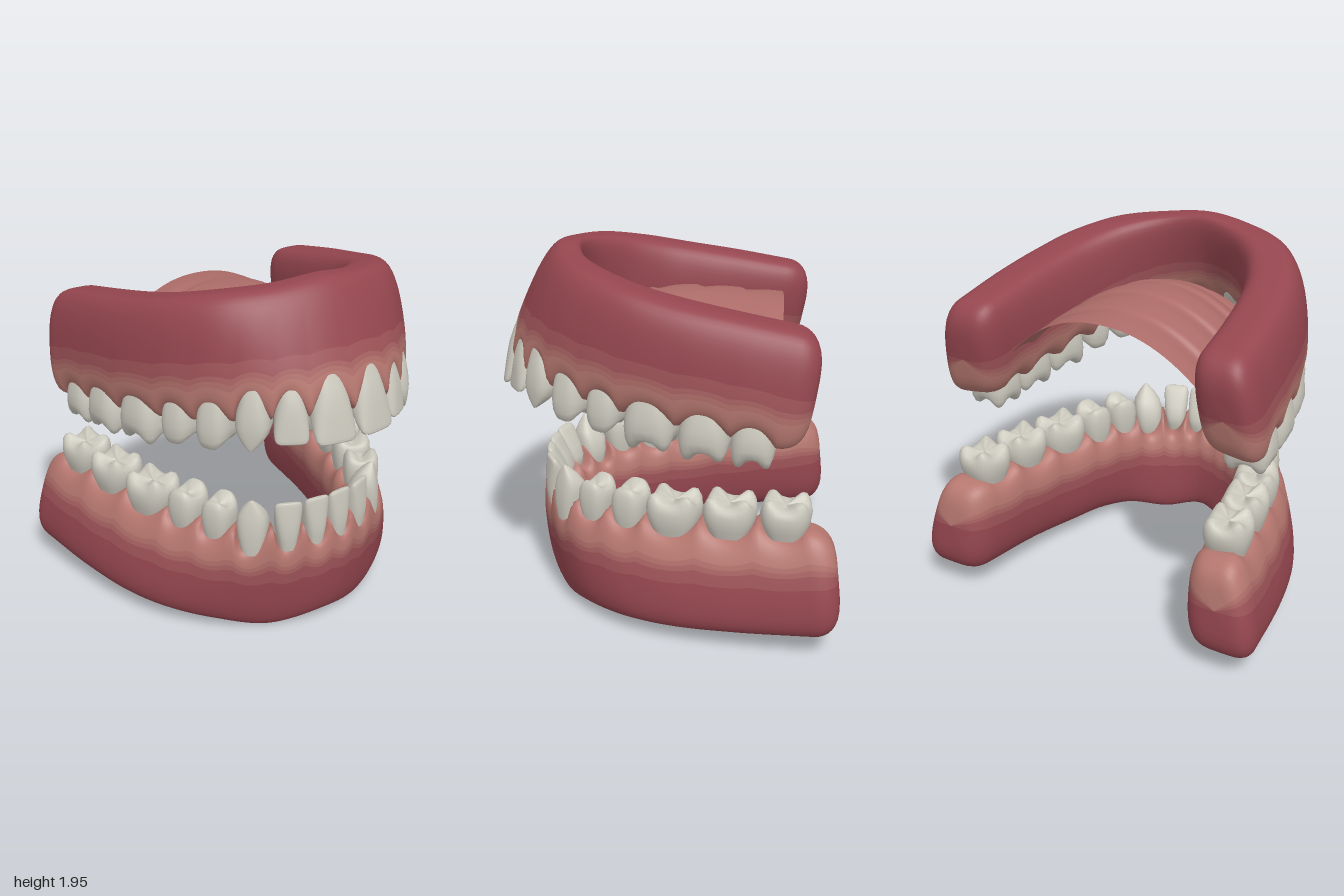
import * as THREE from 'three';

const mat = (color, extra = {}) => new THREE.MeshStandardMaterial({ color, ...extra });
const toothMat = mat(0xcbc8bd);
const palateMat = mat(0xac6c68, { side: THREE.DoubleSide });
// Gum colours from the tooth margin to the base, and where each one ends
const gumMats = [0xb5776f, 0xae6d68, 0xa66261, 0x9d5358, 0x95464f].map(c => mat(c));
const BAND_ENDS = [.28, .34, .4, .46, 1];

// Ring profiles from root to tip: [height, width, thickness, cusp weight]
const PROFILES = {
  incisor: [[0, .6, .75, 0], [.2, .72, .95, 0], [.38, .85, 1, 0], [.6, .95, .8, 0], [.82, 1, .5, 0],
    [.93, .97, .34, 0], [.98, .88, .24, 0], [1, .7, .12, 0], [1, 0, 0, 0]],
  canine: [[0, .6, .75, 0], [.2, .78, .95, 0], [.4, .95, 1, 0], [.6, 1, .9, 0], [.74, .88, .68, 0],
    [.86, .58, .45, 0], [.95, .26, .22, 0], [.99, .09, .09, 0], [1, 0, 0, 0]],
  molar: [[0, .72, .8, 0], [.2, .84, .9, 0], [.4, .95, .98, 0], [.62, 1, 1, .1], [.8, .96, .94, .5],
    [.9, .86, .8, .9], [.93, .7, .64, 1], [.88, .45, .4, .7], [.83, .2, .18, .3], [.82, 0, 0, 0]],
};

// kind, centre x, centre z, width, thickness, neck y, tip y, cusps, lean
const UPPER = [
  ['incisor', .115, .8, .228, .17, 1.48, 1.2, 0, .33],
  ['incisor', .3, .735, .175, .16, 1.44, 1.21, 0, .28],
  ['canine', .435, .62, .18, .2, 1.42, 1.16, 0, .18],
  ['molar', .545, .455, .19, .23, 1.37, 1.14, 2, .08],
  ['molar', .63, .27, .19, .24, 1.33, 1.12, 2, .05],
  ['molar', .71, .04, .27, .27, 1.28, 1.06, 4, 0],
  ['molar', .76, -.23, .265, .28, 1.24, 1.03, 4, 0],
  ['molar', .785, -.47, .23, .27, 1.2, 1.01, 4, 0],
];
const LOWER = [
  ['incisor', .072, .64, .143, .14, .56, .78, 0, .04],
  ['incisor', .222, .61, .15, .14, .56, .78, 0, .04],
  ['canine', .37, .51, .17, .18, .51, .8, 0, 0],
  ['molar', .48, .355, .175, .2, .58, .765, 2, 0],
  ['molar', .56, .165, .19, .22, .59, .77, 2, 0],
  ['molar', .645, -.07, .29, .25, .61, .77, 4, 0],
  ['molar', .715, -.36, .28, .25, .645, .79, 4, 0],
  ['molar', .76, -.645, .265, .25, .665, .805, 4, 0],
];

// Corner rails of each gum, from the front middle to the back of the left arm
const UPPER_RAILS = {
  outMargin: [[0, 1.33, .91], [.31, 1.32, .84], [.55, 1.29, .64], [.71, 1.25, .4], [.84, 1.2, .07], [.91, 1.15, -.3], [.94, 1.1, -.57]],
  outBase: [[0, 1.95, .64], [.3, 1.93, .59], [.54, 1.91, .46], [.72, 1.86, .22], [.81, 1.8, -.05], [.85, 1.75, -.35], [.87, 1.69, -.67]],
  inMargin: [[0, 1.33, .68], [.2, 1.32, .61], [.34, 1.29, .46], [.43, 1.25, .25], [.5, 1.2, 0], [.57, 1.15, -.3], [.62, 1.1, -.56]],
  inBase: [[0, 1.95, .44], [.2, 1.92, .39], [.37, 1.88, .24], [.47, 1.83, .05], [.52, 1.79, -.15], [.55, 1.74, -.4], [.57, 1.69, -.67]],
};
const LOWER_RAILS = {
  outMargin: [[0, .64, .73], [.25, .64, .68], [.47, .63, .55], [.62, .63, .31], [.74, .64, 0], [.82, .66, -.35], [.89, .69, -.74]],
  outBase: [[0, .04, .69], [.33, -.01, .58], [.6, .04, .42], [.79, .06, .2], [.9, .07, -.05], [.98, .09, -.4], [1.03, .11, -.8]],
  inMargin: [[0, .64, .54], [.17, .64, .51], [.3, .63, .41], [.39, .63, .23], [.47, .64, 0], [.55, .66, -.35], [.63, .69, -.74]],
  inBase: [[0, .05, .49], [.18, .01, .43], [.35, .04, .32], [.45, .06, .14], [.52, .07, -.1], [.59, .09, -.4], [.64, .11, -.8]],
};

const spow = (v, p) => Math.sign(v) * Math.abs(v) ** p;

// Triangles of a grid of rings; keep() selects columns
function gridIndex(rings, segs, flip, keep = () => true) {
  const index = [];
  for (let i = 0; i < rings - 1; i++) for (let j = 0; j < segs; j++) {
    if (!keep(j)) continue;
    const k = (j + 1) % segs;
    const a = i * segs + j, b = (i + 1) * segs + j, c = (i + 1) * segs + k, d = i * segs + k;
    index.push(...(flip ? [a, d, c, a, c, b] : [a, b, c, a, c, d]));
  }
  return index;
}

function makeGeometry(pos, index) {
  const g = new THREE.BufferGeometry();
  g.setAttribute('position', new THREE.Float32BufferAttribute(pos, 3));
  g.setIndex(index);
  g.computeVertexNormals();
  return g;
}

// Tooth lofted along +y, cheek side facing +z
function toothGeometry(kind, w, t, h, cusps, lean) {
  const segs = 32, pos = [], rows = PROFILES[kind];
  for (const [y, sw, st, cusp] of rows) for (let j = 0; j < segs; j++) {
    const a = j / segs * Math.PI * 2;
    const wave = cusps ? -Math.cos(cusps * a) : 0;
    const r = 1 + .05 * cusp * wave;
    const shift = kind === 'molar' ? 0 : (1 - st) * t * .28;
    pos.push(spow(Math.cos(a), .72) * w / 2 * sw * r, y * h + wave * cusp * .024,
      spow(Math.sin(a), .72) * t / 2 * st * r + shift + lean * (y - .5) * h);
  }
  return makeGeometry(pos, gridIndex(rows.length, segs, false));
}

// Outward angle of every tooth, from its neighbours along the arch
const toothAngle = (list, i) => {
  const p = i ? list[i - 1] : [0, -list[0][1], list[0][2]];
  const n = list[Math.min(i + 1, list.length - 1)];
  return Math.atan2(p[2] - n[2], n[1] - p[1]);
};

function buildTeeth(list, name, isUpper) {
  const group = new THREE.Group();
  group.name = name;
  list.forEach(([kind, x, z, w, t, neck, tip, cusps, lean], i) => {
    const root = .06, h = Math.abs(tip - neck) + root;
    const g = toothGeometry(kind, w, t, h, cusps, lean);
    if (isUpper) g.rotateZ(Math.PI);
    for (const side of [1, -1]) {
      const m = new THREE.Mesh(g, toothMat);
      m.name = (side > 0 ? 'left ' : 'right ') + (cusps === 2 ? 'premolar' : kind);
      m.position.set(x * side, isUpper ? neck + root : neck - root, z);
      m.rotation.y = toothAngle(list, i) * side;
      group.add(m);
    }
  });
  return group;
}

// Horseshoe gum lofted between four rails, with rounded ends and scalloped margin
function buildGum(rails, teeth, name, isUpper) {
  const curve = pts => new THREE.CatmullRomCurve3([
    ...pts.slice(1).reverse().map(([x, y, z]) => new THREE.Vector3(-x, y, z)),
    ...pts.map(p => new THREE.Vector3(...p))]);
  const [om, ob, im, ib] = ['outMargin', 'outBase', 'inMargin', 'inBase'].map(k => curve(rails[k]));
  const at = (u, a, v) => im.getPoint(u).lerp(om.getPoint(u), a).lerp(ib.getPoint(u).lerp(ob.getPoint(u), a), v);
  const N = 220, CAP = 9, segs = 64, pos = [];

  // Even spacing round a squarish section
  const section = j => {
    const q = j / segs * Math.PI * 2, th = q - .2 * Math.sin(4 * q);
    return [(spow(Math.cos(th), .5) + 1) / 2, (spow(Math.sin(th), .5) + 1) / 2];
  };
  // How far the margin recedes in front of the nearest tooth
  const scallop = p => Math.max(0, ...teeth.map(([, x, z, w], i) => {
    const ang = toothAngle(teeth, i), dx = Math.abs(p.x) - x, dz = p.z - z;
    const r = (dx * Math.cos(ang) - dz * Math.sin(ang)) / (w * .52);
    const across = dx * Math.sin(ang) + dz * Math.cos(ang);
    return Math.abs(across) > .35 ? 0 : (1 - r * r) * (i < 3 ? .2 : .12);
  }));
  const ring = (u, shrink, push) => {
    const mid = at(u, .5, .5);
    const dir = mid.clone().sub(at(u < .5 ? .03 : .97, .5, .5)).normalize();
    for (let j = 0; j < segs; j++) {
      const [a, v] = section(j);
      const s = scallop(at(u, a, v));
      const swell = .06 * Math.sin(Math.PI * v) * (a - .5) + s * .1 * (1 - v) * (a - .5);
      const p = at(u, a + swell * 2, v + s * (1 - v) ** 3);
      p.lerp(mid, 1 - shrink).addScaledVector(dir, push);
      pos.push(p.x, p.y, p.z);
    }
  };
  const cap = (u, k) => {
    const f = k / CAP * Math.PI / 2;
    ring(u, k === CAP ? 0 : Math.cos(f) ** .5, .15 * Math.sin(f));
  };
  for (let k = CAP; k > 0; k--) cap(0, k);
  for (let i = 0; i <= N; i++) ring(i / N, 1, 0);
  for (let k = 1; k <= CAP; k++) cap(1, k);

  // Colour bands share one set of normals
  const rings = N + 1 + CAP * 2;
  const whole = makeGeometry(pos, gridIndex(rings, segs, !isUpper));
  const band = j => BAND_ENDS.findIndex(end => section(j + .5)[1] <= end);
  const group = new THREE.Group();
  group.name = name;
  gumMats.forEach((material, b) => {
    const g = whole.clone();
    g.setIndex(gridIndex(rings, segs, !isUpper, j => band(j) === b));
    const m = new THREE.Mesh(g, material);
    m.name = `${name} band ${b + 1}`;
    group.add(m);
  });
  return group;
}

// Vaulted palate with cross ridges
function buildPalate() {
  const g = new THREE.PlaneGeometry(2, 1, 40, 110), p = g.attributes.position;
  const ridges = [-.42, -.18, .07, .22, .35];
  for (let i = 0; i < p.count; i++) {
    const s = p.getX(i), q = p.getY(i) + .5;
    const z = -.62 + q * 1.17 + .04 * s * s * (1 - q);
    const half = .62 * Math.sqrt(Math.max(0, 1 - q ** 3));
    let y = 1.33 + .1 * q + .33 * (1 - Math.abs(s) ** 2.2) * (1 - q ** 4);
    for (const r of ridges) {
      const d = z - r - .03 * s * s;
      y -= .035 * Math.exp(-((d / (d > 0 ? .02 : .07)) ** 2)) * (.1 + .9 * Math.abs(s));
    }
    p.setXYZ(i, s * half, y, z);
  }
  g.computeVertexNormals();
  const m = new THREE.Mesh(g, palateMat);
  m.name = 'palate';
  return m;
}

export function createModel() {
  const model = new THREE.Group();
  model.name = 'dentures';
  model.add(
    buildGum(UPPER_RAILS, UPPER, 'upper gum', true),
    buildTeeth(UPPER, 'upper teeth', true),
    buildPalate(),
    buildGum(LOWER_RAILS, LOWER, 'lower gum', false),
    buildTeeth(LOWER, 'lower teeth', false),
  );
  return model;
}
